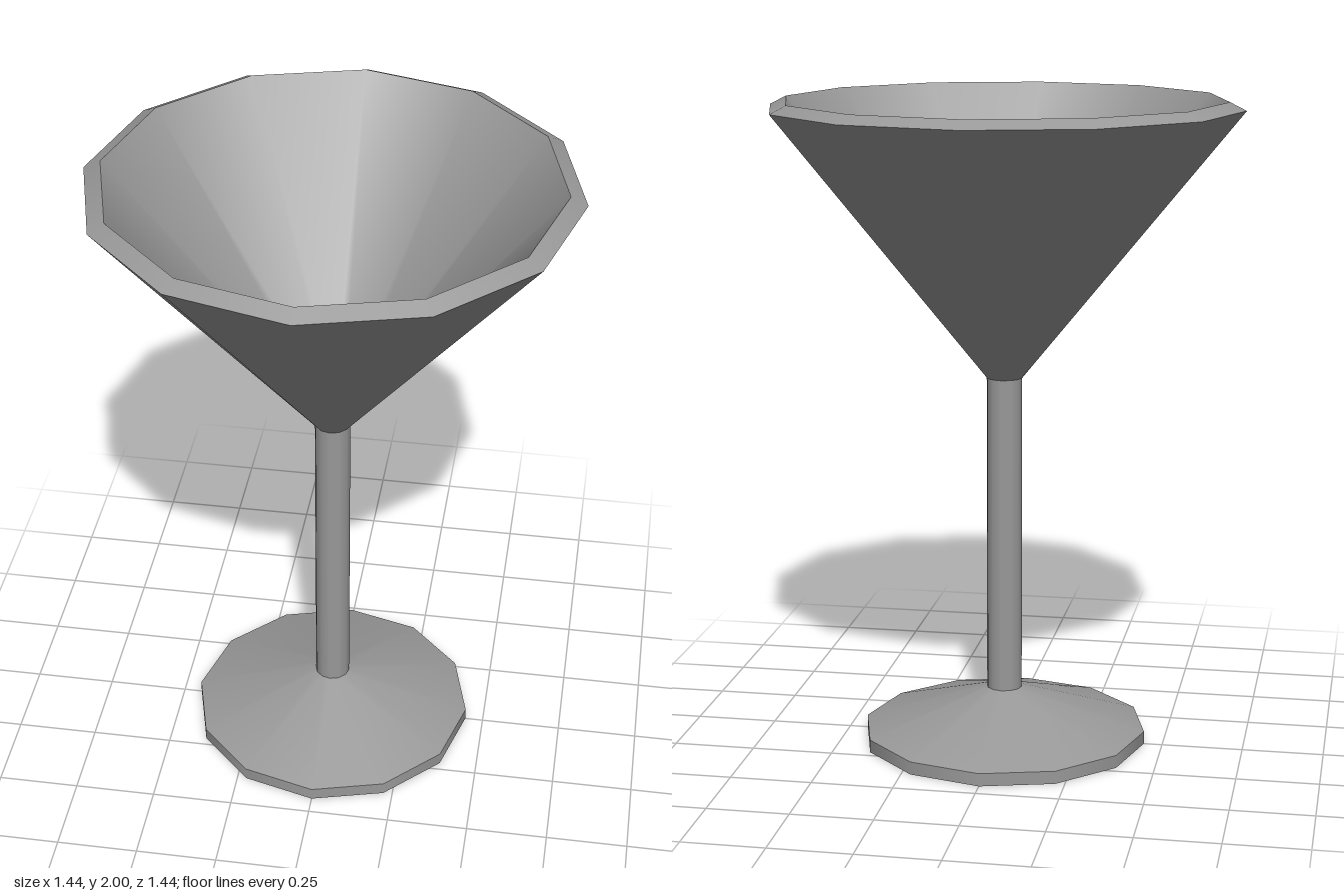
import * as THREE from 'three';

const SIDES = 12;

export function createModel() {
  const group = new THREE.Group();
  const material = new THREE.MeshStandardMaterial({ color: 0x999999 });

  // Turns each profile segment separately: smooth around, sharp between bands.
  // Profiles run bottom centre, outward, up and back in, so faces point out.
  function turned(name, profile) {
    const part = new THREE.Group();
    part.name = name;
    for (let i = 0; i + 1 < profile.length; i++) {
      const ends = [profile[i], profile[i + 1]].map(([r, y]) => new THREE.Vector2(r, y));
      const band = new THREE.Mesh(new THREE.LatheGeometry(ends, SIDES), material);
      band.name = `${name}Band${i + 1}`;
      part.add(band);
    }
    group.add(part);
  }

  // Foot: flat underside, short rim, shallow cone up to the stem
  turned('foot', [[0, 0], [0.443, 0], [0.443, 0.04], [0.055, 0.166]]);

  // Stem
  turned('stem', [[0.055, 0.166], [0.055, 1.155]]);

  // Bowl: outer wall, bevelled rim, inner wall and small floor
  turned('bowl', [[0.055, 1.155], [0.72, 1.975], [0.67, 2], [0.055, 1.236], [0, 1.236]]);

  return group;
}
